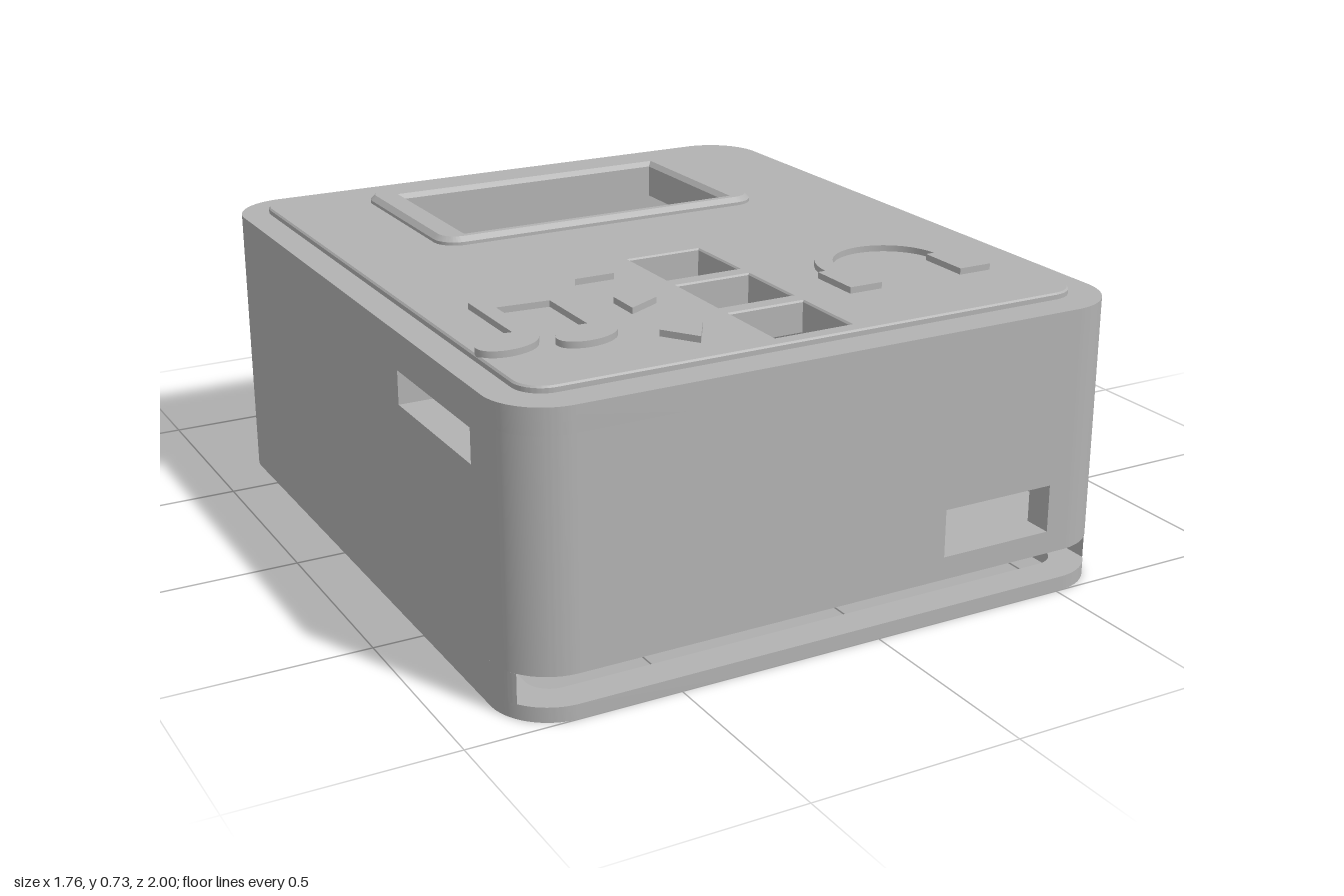
import * as THREE from 'three';
import { toCreasedNormals } from 'three/addons/utils/BufferGeometryUtils.js';

const X0 = -0.88, X1 = 0.65, Z0 = -0.77, Z1 = 1.0; // outer footprint
const R = 0.14, WALL = 0.07, GROOVE_TOP = 0.105, RIM = 0.035, ROOF = 0.63, TOP = 0.69;

const plastic = new THREE.MeshStandardMaterial({ color: 0xb2b2b2, side: THREE.DoubleSide });
plastic.name = 'grey plastic';

function add(group, name, geometry) {
  const mesh = new THREE.Mesh(toCreasedNormals(geometry, 0.6), plastic);
  mesh.name = name;
  group.add(mesh);
  return mesh;
}

const polygon = (pts) => new THREE.Shape(pts.map(([x, y]) => new THREE.Vector2(x, y)));
const rect = (x0, y0, x1, y1) => polygon([[x0, y0], [x1, y0], [x1, y1], [x0, y1]]);

function roundRect(x0, y0, x1, y1, r) {
  const s = new THREE.Shape();
  s.absarc(x1 - r, y1 - r, r, 0, Math.PI / 2);
  s.absarc(x0 + r, y1 - r, r, Math.PI / 2, Math.PI);
  s.absarc(x0 + r, y0 + r, r, Math.PI, Math.PI * 1.5);
  s.absarc(x1 - r, y0 + r, r, Math.PI * 1.5, Math.PI * 2);
  return s;
}

function withHoles(shape, holes) {
  shape.holes.push(...holes);
  return shape;
}

// Horizontal slab from a shape drawn in x and z; an optional bevel rounds its edges
function slab(shape, y0, y1, bevel = 0) {
  const g = new THREE.ExtrudeGeometry(shape, {
    depth: y1 - y0 - 2 * bevel, curveSegments: 16, bevelEnabled: bevel > 0,
    bevelThickness: bevel, bevelSize: bevel, bevelOffset: -bevel, bevelSegments: 1,
  });
  return g.rotateX(Math.PI / 2).translate(0, y1 - bevel, 0);
}

const wallPanel = (shape) =>
  new THREE.ExtrudeGeometry(shape, { depth: WALL, bevelEnabled: false, curveSegments: 24 });

function box(x0, y0, z0, x1, y1, z1) {
  return new THREE.BoxGeometry(x1 - x0, y1 - y0, z1 - z0)
    .translate((x0 + x1) / 2, (y0 + y1) / 2, (z0 + z1) / 2);
}

function buildWalls() {
  const g = new THREE.Group();
  g.name = 'walls';
  const xa = X0 + R, xb = X1 - R, za = Z0 + R, zb = Z1 - R;

  // Front wall with charging port, plain back wall
  add(g, 'frontWall', wallPanel(withHoles(rect(xa, GROOVE_TOP, xb, ROOF),
    [rect(0.17, 0.16, 0.46, 0.275)])).translate(0, 0, Z1 - WALL));
  add(g, 'backWall', wallPanel(rect(xa, GROOVE_TOP, xb, ROOF)).translate(0, 0, Z0));

  // Side walls: round socket hole on one, switch slot on the other
  const socket = new THREE.Path();
  socket.absarc(-0.18, 0.39, 0.133, 0, Math.PI * 2);
  add(g, 'socketWall', wallPanel(withHoles(rect(za, GROOVE_TOP, zb, ROOF), [socket]))
    .rotateY(-Math.PI / 2).translate(X1, 0, 0));
  add(g, 'switchWall', wallPanel(withHoles(rect(za, GROOVE_TOP, zb, ROOF),
    [rect(0.41, 0.52, 0.8, 0.6)])).rotateY(-Math.PI / 2).translate(X0 + WALL, 0, 0));

  // Rounded corner pillars
  [[xb, zb], [xa, zb], [xa, za], [xb, za]].forEach(([cx, cz], i) => {
    const a = i * Math.PI / 2, s = new THREE.Shape();
    s.absarc(cx, cz, R, a, a + Math.PI / 2);
    s.absarc(cx, cz, R - WALL, a + Math.PI / 2, a, true);
    add(g, 'cornerPillar', slab(s, GROOVE_TOP, ROOF));
  });
  return g;
}

// Open base with a slide-in lid groove that runs out through the front
function buildBase() {
  const g = new THREE.Group();
  g.name = 'base';
  add(g, 'bottomRim', slab(withHoles(roundRect(X0, Z0, X1, Z1, R),
    [roundRect(X0 + 0.08, Z0 + 0.08, X1 - 0.08, Z1 - 0.08, 0.06)]), 0, RIM));

  const gx0 = X0 + 0.025, gx1 = X1 - 0.025, gz = Z0 + 0.04;
  const cut = Math.acos((R - 0.025) / R);
  const s = new THREE.Shape();
  s.absarc(X0 + R, Z1 - R, R, Math.PI - cut, Math.PI);
  s.absarc(X0 + R, Z0 + R, R, Math.PI, Math.PI * 1.5);
  s.absarc(X1 - R, Z0 + R, R, Math.PI * 1.5, Math.PI * 2);
  s.absarc(X1 - R, Z1 - R, R, 0, cut);
  s.lineTo(gx1, gz + 0.08);
  s.lineTo(gx1 - 0.08, gz);
  s.lineTo(gx0 + 0.08, gz);
  s.lineTo(gx0, gz + 0.08);
  add(g, 'lidGroove', slab(s, RIM, GROOVE_TOP));
  return g;
}

function buildTop() {
  const g = new THREE.Group();
  g.name = 'top';
  const openings = () => [
    rect(-0.48, -0.53, 0.25, -0.12),
    ...[0.22, 0.455, 0.69].map((z) => rect(-0.21, z, -0.02, z + 0.19)),
  ];
  add(g, 'topPlate', slab(withHoles(roundRect(X0, Z0, X1, Z1, R), openings()), ROOF, TOP));
  add(g, 'raisedFace', slab(withHoles(roundRect(-0.81, -0.7, 0.58, 0.92, 0.07), openings()),
    TOP - 0.005, 0.705, 0.004));
  add(g, 'screenFrame', slab(withHoles(roundRect(-0.56, -0.61, 0.33, -0.08, 0.06),
    [openings()[0]]), 0.685, 0.725, 0.012));
  return g;
}

// Raised symbols on the top face
function buildSymbols() {
  const g = new THREE.Group();
  g.name = 'symbols';
  const raise = (name, shape) => add(g, name, slab(shape, 0.7, 0.72));

  raise('upArrow', polygon([[-0.365, 0.265], [-0.315, 0.345], [-0.415, 0.345]]));
  raise('sideArrow', polygon([[-0.4, 0.505], [-0.315, 0.55], [-0.4, 0.595]]));
  raise('downArrow', polygon([[-0.42, 0.755], [-0.315, 0.755], [-0.365, 0.835]]));

  raise('noteStems', polygon([[-0.7, 0.39], [-0.49, 0.42], [-0.49, 0.69], [-0.535, 0.69],
    [-0.535, 0.46], [-0.66, 0.45], [-0.66, 0.67], [-0.7, 0.67]]));
  for (const [x, z] of [[-0.735, 0.67], [-0.562, 0.695]]) {
    const head = new THREE.Shape();
    head.absellipse(x, z, 0.076, 0.05, 0, Math.PI * 2, false, -0.25);
    raise('noteHead', head);
  }

  const band = new THREE.Shape();
  band.absarc(0.295, 0.57, 0.175, Math.PI, Math.PI * 2);
  band.absarc(0.295, 0.57, 0.132, Math.PI * 2, Math.PI, true);
  raise('headphoneBand', band);
  for (const x of [0.1, 0.405]) raise('headphoneCup', rect(x, 0.565, x + 0.085, 0.7));
  return g;
}

// Keyring tab: layered outline with rounded edges and a drilled hole
function buildTab() {
  const g = new THREE.Group();
  g.name = 'keyringTab';
  const cx = 0.71, cz = -0.83, r = 0.17, y0 = 0.23, y1 = 0.46, b = 0.05, N = 32;
  const a0 = Math.atan2(-0.784, -0.62), a1 = Math.atan2(0.643, 0.766);
  const outline = (inset) => {
    const pts = [];
    for (let i = 0; i <= N; i++) {
      const a = a0 + (a1 - a0) * i / N;
      pts.push([cx + (r - inset) * Math.cos(a), cz + (r - inset) * Math.sin(a)]);
    }
    const s = pts[0], e = pts[N];
    return [...pts, [e[0] - 0.206, e[1] + 0.245], [0.6, -0.65], [0.54, -0.715],
      [s[0] - 0.259, s[1] + 0.205]];
  };

  const layers = [];
  for (let i = 0; i <= 6; i++) {
    const t = i / 6 * Math.PI / 2;
    layers.push([y0 + b * (1 - Math.cos(t)), b * (1 - Math.sin(t))]);
  }
  layers.push(...layers.map(([y, inset]) => [y0 + y1 - y, inset]).reverse());

  const pos = [], index = [], n = N + 5;
  layers.forEach(([y, inset], k) => {
    outline(inset).forEach(([x, z], i) => {
      pos.push(x, y, z);
      if (k === 0) return;
      const a = (k - 1) * n + i, c = (k - 1) * n + (i + 1) % n;
      index.push(a, a + n, c, c, a + n, c + n);
    });
  });
  const side = new THREE.BufferGeometry();
  side.setAttribute('position', new THREE.Float32BufferAttribute(pos, 3));
  side.setIndex(index);
  add(g, 'tabSide', side);

  const hole = new THREE.Path();
  hole.absarc(cx, cz, 0.08, 0, Math.PI * 2);
  const cap = new THREE.ShapeGeometry(withHoles(polygon(outline(b)), [hole]), 16);
  add(g, 'tabUnderside', cap.clone().rotateX(Math.PI / 2).translate(0, y0, 0));
  const top = cap.rotateX(Math.PI / 2).translate(0, y1, 0);
  top.index.array.reverse();
  top.computeVertexNormals();
  add(g, 'tabTop', top);
  add(g, 'tabHole', new THREE.CylinderGeometry(0.08, 0.08, y1 - y0, 32, 1, true)
    .scale(-1, 1, 1).translate(cx, (y0 + y1) / 2, cz));
  return g;
}

// Mounts inside the case
function buildInterior() {
  const g = new THREE.Group();
  g.name = 'interior';
  add(g, 'boardShelf', box(0.03, 0.115, 0.1, 0.59, 0.155, 0.94));
  add(g, 'frontLedge', box(-0.25, 0.115, 0.79, 0.03, 0.155, 0.94));
  add(g, 'switchHolder', box(-0.82, 0.45, 0.36, -0.74, 0.5, 0.85));
  add(g, 'buttonPost', box(-0.41, 0.55, 0.22, -0.33, 0.64, 0.3));
  return g;
}

export function createModel() {
  const model = new THREE.Group();
  model.name = 'playerCase';
  model.add(buildBase(), buildWalls(), buildTop(), buildSymbols(), buildTab(), buildInterior());
  return model;
}
